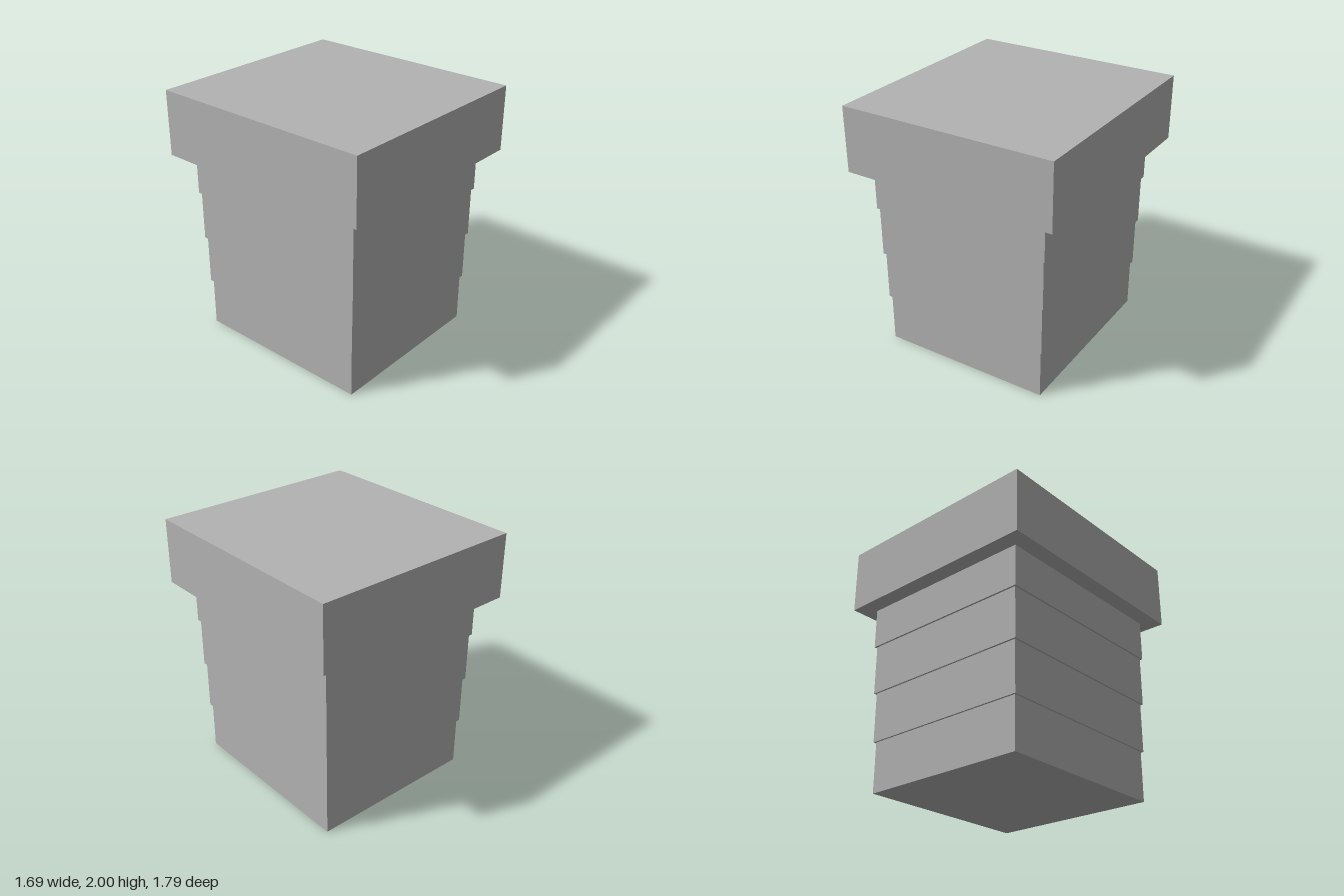
import * as THREE from 'three';

export function createModel() {
  const model = new THREE.Group();
  model.name = 'steppedPedestal';
  const stone = new THREE.MeshStandardMaterial({ color: 0xb2b2b2 });
  stone.name = 'grey stone';

  // A block standing on height y
  const addBlock = (name, width, height, depth, y) => {
    const block = new THREE.Mesh(new THREE.BoxGeometry(width, height, depth), stone);
    block.name = name;
    block.position.y = y + height / 2;
    model.add(block);
  };

  // Shaft: four equal courses, each slightly wider than the one below
  const capBase = 1.492;
  const course = 0.391;
  for (let i = 0; i < 4; i++) {
    const y = i * course;
    const grow = i * 0.029;
    const height = Math.min(course, capBase - y);
    addBlock(`shaftCourse${i + 1}`, 1.352 + grow, height, 1.452 + grow, y);
  }

  // Overhanging cap slab
  addBlock('cap', 1.693, 2 - capBase, 1.795, capBase);

  return model;
}
